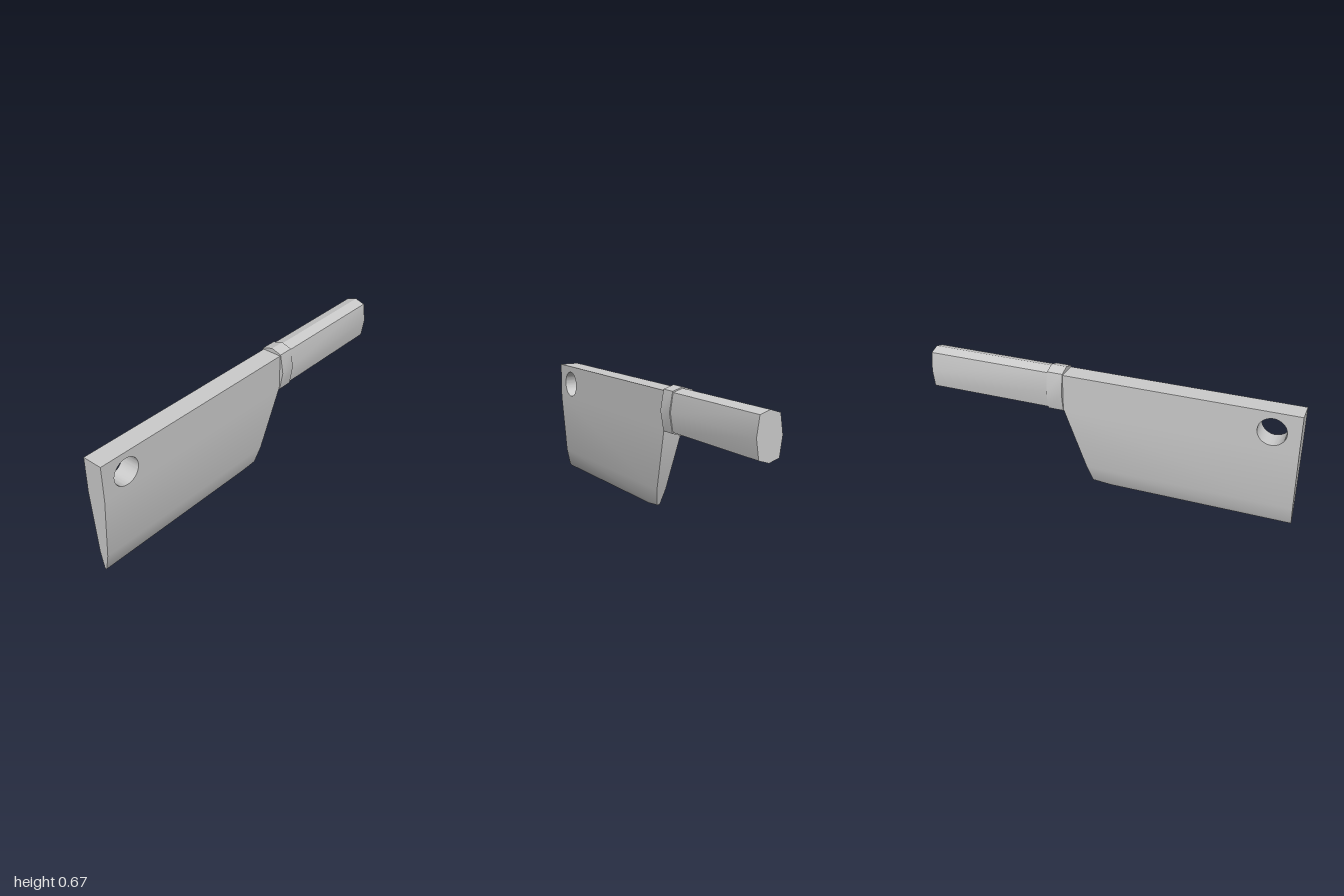
import * as THREE from 'three';
import { mergeGeometries, toCreasedNormals } from 'three/addons/utils/BufferGeometryUtils.js';

const CREASE = THREE.MathUtils.degToRad(30);
const material = new THREE.MeshStandardMaterial({ color: 0xcccccc });

function part(name, geometry) {
  const mesh = new THREE.Mesh(toCreasedNormals(geometry, CREASE), material);
  mesh.name = name;
  return mesh;
}

// Slab of constant thickness with the hanging hole near the front
function upperBlade() {
  const shape = new THREE.Shape();
  shape.moveTo(-0.23, 0.45).lineTo(1, 0.45).lineTo(1, 0.647).lineTo(-0.23, 0.647).closePath();
  const hole = new THREE.Path();
  hole.absarc(0.86, 0.54, 0.073, 0, Math.PI * 2, true);
  shape.holes.push(hole);
  const geometry = new THREE.ExtrudeGeometry(shape, { depth: 0.11, bevelEnabled: false, curveSegments: 32 });
  geometry.rotateY(-Math.PI / 2).translate(0.055, 0, 0);
  geometry.deleteAttribute('uv');
  return geometry;
}

// Tapering wedge, lofted down through levels to the cutting edge
function lowerBlade() {
  // height, half thickness, z of the slanted heel
  const levels = [[0.45, 0.055, -0.23], [0.105, 0.027, -0.115], [0.015, 0.008, -0.085], [0, 0, 0.015]];
  const rings = levels.map(([y, w, back]) => [[w, y, 1], [w, y, back], [-w, y, back], [-w, y, 1]]);
  const positions = [];
  for (let i = 0; i < rings.length - 1; i++) {
    const top = rings[i], low = rings[i + 1];
    for (let j = 0; j < 4; j++) {
      const k = (j + 1) % 4;
      const toEdge = i === rings.length - 2;
      positions.push(...top[j], ...low[j], ...low[k]);
      // At the edge the end faces narrow to a single triangle
      if (toEdge && j % 2 === 1) positions.splice(-9, 9, ...top[j], ...low[j], ...top[k]);
      else positions.push(...top[j], ...low[k], ...top[k]);
    }
  }
  const geometry = new THREE.BufferGeometry();
  geometry.setAttribute('position', new THREE.Float32BufferAttribute(positions, 3));
  geometry.computeVertexNormals();
  return geometry;
}

// Tall octagonal bar running from zFront back to zBack
function octagonBar(halfWidth, shoulder, halfHeight, shoulderHeight, zFront, zBack) {
  const outline = [
    [0, halfHeight], [-shoulder, shoulderHeight], [-halfWidth, 0], [-shoulder, -shoulderHeight],
    [0, -halfHeight], [shoulder, -shoulderHeight], [halfWidth, 0], [shoulder, shoulderHeight],
  ].map(([x, y]) => new THREE.Vector2(x, y));
  const geometry = new THREE.ExtrudeGeometry(new THREE.Shape(outline), { depth: zFront - zBack, bevelEnabled: false });
  return geometry.translate(0, 0.549, zBack);
}

export function createModel() {
  const cleaver = new THREE.Group();
  cleaver.name = 'cleaver';
  cleaver.add(
    part('blade', mergeGeometries([upperBlade(), lowerBlade()])),
    part('collar', octagonBar(0.076, 0.058, 0.123, 0.105, -0.23, -0.315)),
    part('handle', octagonBar(0.07, 0.055, 0.116, 0.099, -0.315, -1)),
  );
  return cleaver;
}
